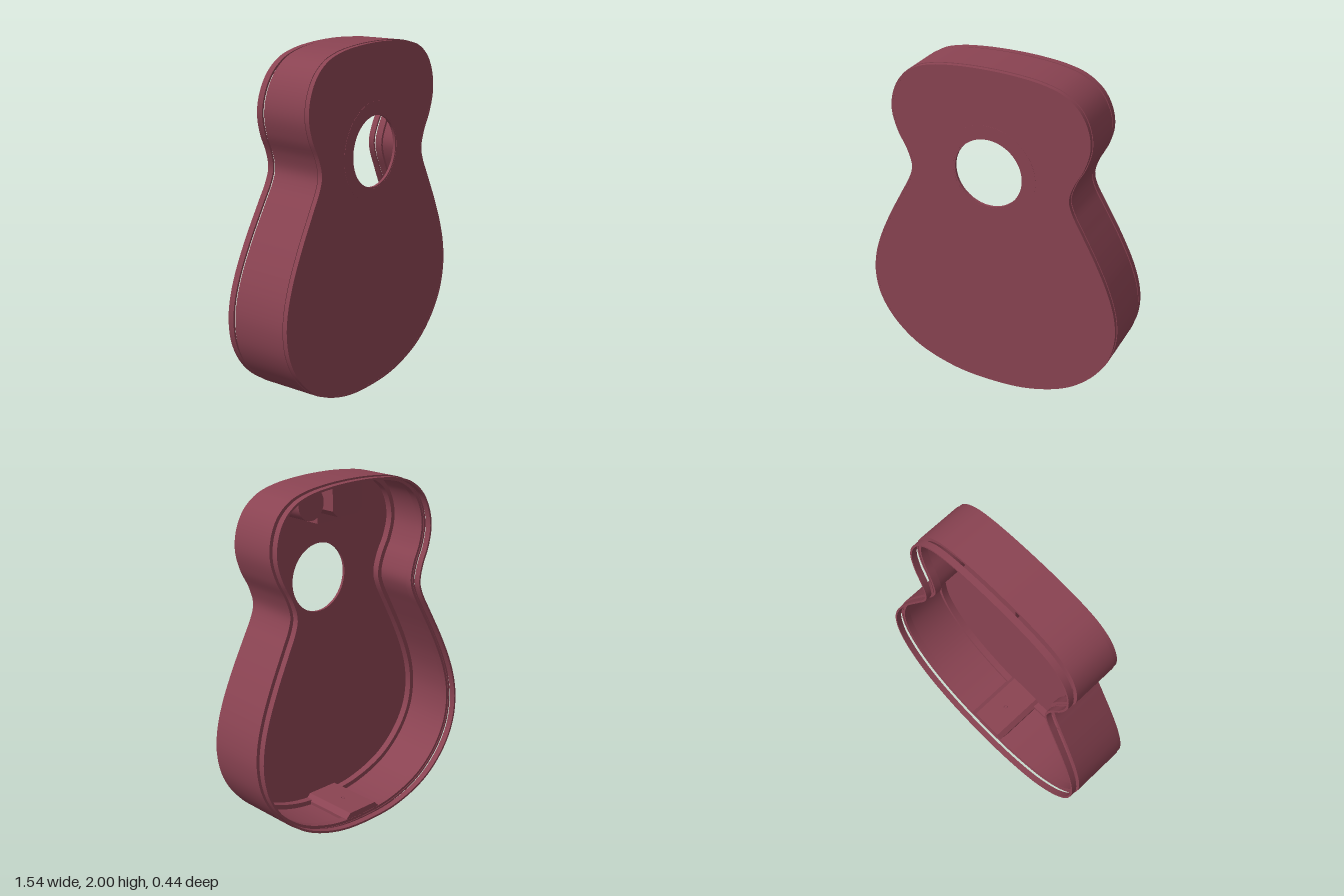
import * as THREE from 'three';
import { toCreasedNormals } from 'three/addons/utils/BufferGeometryUtils.js';

const wood = new THREE.MeshStandardMaterial({ color: 0x8a4352 });

// Half outline from bottom centre to top centre (x, y)
const HALF = [
  [0, 0.005], [0.25, 0.027], [0.49, 0.115], [0.65, 0.25], [0.74, 0.4], [0.77, 0.55],
  [0.76, 0.68], [0.72, 0.82], [0.645, 0.99], [0.55, 1.17], [0.495, 1.275], [0.477, 1.345],
  [0.503, 1.44], [0.555, 1.54], [0.587, 1.66], [0.573, 1.77], [0.52, 1.87], [0.43, 1.94],
  [0.32, 1.975], [0.17, 1.994], [0, 2],
];
const loop = [...HALF, ...HALF.slice(1, -1).reverse().map(([x, y]) => [-x, y])];
const curve = new THREE.CatmullRomCurve3(
  loop.map(([x, y]) => new THREE.Vector3(x, y, 0)), true, 'centripetal');
const N = 240;

// Outline points moved inward by a distance
function outline(inset) {
  const pts = [];
  for (let i = 0; i < N; i++) {
    const p = curve.getPointAt(i / N), t = curve.getTangentAt(i / N);
    pts.push(new THREE.Vector2(p.x - t.y * inset, p.y + t.x * inset));
  }
  return pts;
}

// Front face is slightly tilted, back edge tapers along a gentle arch
const frontZ = (y) => 0.203 + 0.011 * y;
const backZ = (y) => -0.165 + 0.0345 * y + 0.014 * y * y;

function add(group, name, geometry) {
  const mesh = new THREE.Mesh(geometry, wood);
  mesh.name = name;
  group.add(mesh);
  return mesh;
}

// Band of rectangular section following the outline
function band(outer, inner, zHigh, zLow) {
  const a = outline(outer), b = outline(inner), pos = [], idx = [];
  for (let i = 0; i < N; i++) {
    const hi = zHigh(a[i].y), lo = zLow(a[i].y);
    pos.push(a[i].x, a[i].y, hi, a[i].x, a[i].y, lo, b[i].x, b[i].y, lo, b[i].x, b[i].y, hi);
    const j = (i + 1) % N;
    for (let k = 0; k < 4; k++) {
      const l = (k + 1) % 4;
      idx.push(i * 4 + l, j * 4 + l, j * 4 + k, i * 4 + l, j * 4 + k, i * 4 + k);
    }
  }
  const g = new THREE.BufferGeometry();
  g.setAttribute('position', new THREE.Float32BufferAttribute(pos, 3));
  g.setIndex(idx);
  return toCreasedNormals(g, 0.6);
}

// Flat sheet whose front sits on the tilted face
function sheet(shape, depth, lift) {
  const g = new THREE.ExtrudeGeometry(shape, { depth, bevelEnabled: false, curveSegments: 64 });
  const p = g.attributes.position;
  for (let i = 0; i < p.count; i++) p.setZ(i, p.getZ(i) - depth + lift + frontZ(p.getY(i)));
  return toCreasedNormals(g, 0.6);
}

function circleHole(r) {
  return new THREE.Path().absarc(0, 1.4, r, 0, Math.PI * 2, true);
}

// Block with chamfered corners on its inward side, running from z0 to z1
function block(half, yWall, yInner, chamfer, z0, z1) {
  const s = Math.sign(yInner - yWall) * chamfer;
  const shape = new THREE.Shape([
    [-half, yWall], [half, yWall], [half, yInner - s], [half - chamfer, yInner],
    [chamfer - half, yInner], [-half, yInner - s],
  ].map(([x, y]) => new THREE.Vector2(x, y)));
  return new THREE.ExtrudeGeometry(shape, { depth: z1 - z0, bevelEnabled: false }).translate(0, 0, z0);
}

export function createModel() {
  const body = new THREE.Group();
  body.name = 'guitarBody';

  // Soundboard with its round hole
  const board = new THREE.Shape(outline(0.01));
  board.holes.push(circleHole(0.2));
  add(body, 'soundboard', sheet(board, 0.015, 0));

  // Inlaid ring round the hole
  const ring = new THREE.Shape().absarc(0, 1.4, 0.28, 0, Math.PI * 2, false);
  ring.holes.push(circleHole(0.21));
  add(body, 'rosette', sheet(ring, 0.006, 0.001));

  // Sides, bindings and inner linings
  add(body, 'sides', band(0, 0.012, (y) => frontZ(y) - 0.025, backZ));
  add(body, 'frontBinding', band(0.004, 0.016, (y) => frontZ(y) + 0.0005, (y) => frontZ(y) - 0.026));
  add(body, 'backBinding', band(0.005, 0.017, (y) => backZ(y) - 0.018, (y) => backZ(y) - 0.053));
  add(body, 'frontLining', band(0.011, 0.04, (y) => frontZ(y) - 0.014, (y) => frontZ(y) - 0.055));
  add(body, 'backLining', band(0.011, 0.028, (y) => backZ(y) + 0.045, (y) => backZ(y) + 0.003));

  // Tail block with pin hole rim
  add(body, 'tailBlock', block(0.13, 0.014, 0.07, 0.03, -0.16, 0.19));
  const pin = add(body, 'pinHoleRim', new THREE.TorusGeometry(0.01, 0.002, 6, 20));
  pin.rotation.x = Math.PI / 2;
  pin.position.set(0, 0.07, 0.01);

  // Neck block, its foot and two bolt rims
  add(body, 'neckBlock', block(0.11, 1.985, 1.8, 0.035, -0.03, 0.205));
  const foot = add(body, 'neckBlockFoot', new THREE.BoxGeometry(0.18, 0.07, 0.09));
  foot.position.set(0, 1.775, 0.16);
  for (const x of [-0.045, 0.045]) {
    const bolt = add(body, 'boltRim', new THREE.TorusGeometry(0.012, 0.003, 6, 20));
    bolt.rotation.x = Math.PI / 2;
    bolt.position.set(x, 1.74, 0.16);
  }

  // Rounded brace beside the neck block
  const brace = add(body, 'roundedBrace', new THREE.CylinderGeometry(0.09, 0.09, 0.18, 40));
  brace.rotation.x = Math.PI / 2;
  brace.position.set(0.21, 1.88, 0.12);

  return body;
}
